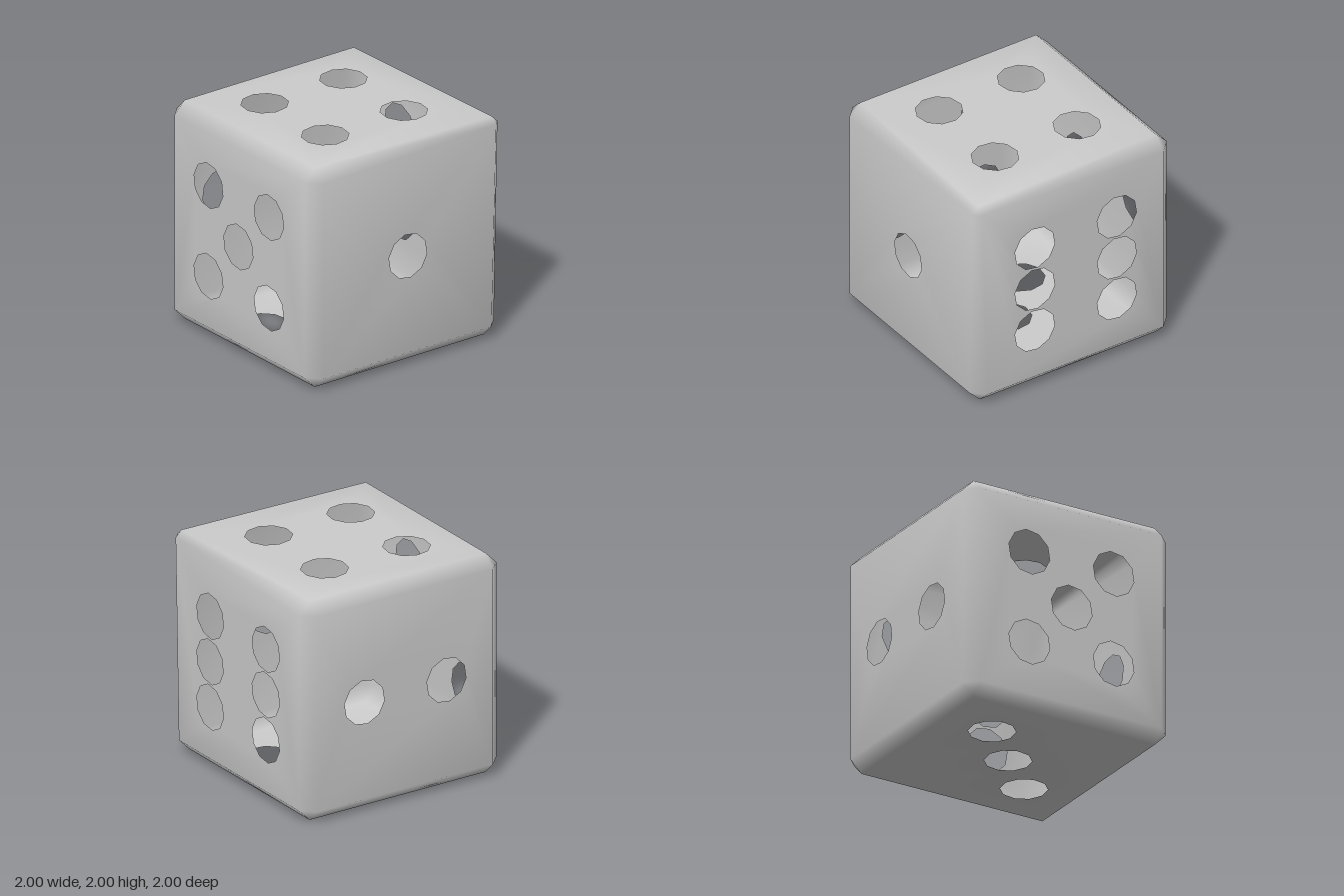
import * as THREE from 'three';

const PIP_R = 0.2, PIP_SIDES = 10, P = 0.41;
const V = (x, y, z) => new THREE.Vector3(x, y, z);
const AXES = ['x', 'y', 'z'];

// How far a corner of the cube is cut back; the upper back left one is sharper
const inset = s => (s.x > 0 && s.y > 0 && s.z < 0 ? 0.07 : 0.12);

// Faces bulge very slightly towards their middle
const height = (u, v) => 1 - 0.015 * Math.max(Math.abs(u), Math.abs(v)) ** 2;

// Each face: outward normal n, in-plane axes u and v, pip centres in (u, v)
const FACES = [
  { name: 'frontFace', n: V(0, 0, 1), u: V(1, 0, 0), v: V(0, 1, 0),
    pips: [[-P, P], [P, P], [0, 0], [-P, -P], [P, -P]] },
  { name: 'backFace', n: V(0, 0, -1), u: V(-1, 0, 0), v: V(0, 1, 0),
    pips: [[-P, P], [-P, 0], [-P, -P], [P, P], [P, 0], [P, -P]] },
  { name: 'leftFace', n: V(1, 0, 0), u: V(0, 0, -1), v: V(0, 1, 0), pips: [[0, 0]] },
  { name: 'rightFace', n: V(-1, 0, 0), u: V(0, 0, 1), v: V(0, 1, 0), pips: [[-P, 0], [P, 0]] },
  { name: 'topFace', n: V(0, 1, 0), u: V(1, 0, 0), v: V(0, 0, -1),
    pips: [[-P, P], [P, P], [-P, -P], [P, -P]] },
  { name: 'bottomFace', n: V(0, -1, 0), u: V(1, 0, 0), v: V(0, 0, 1),
    pips: [[P, -P], [0, 0], [-P, P]] },
];

// Smooth normal: the face direction, leaning outwards near the rim
function softNormal(n, p) {
  const rim = Math.max(...AXES.map(a => (n[a] ? 0 : Math.abs(p[a])))) > 0.8;
  return rim ? n.clone().addScaledVector(p, 0.18).normalize() : n.clone();
}

// Flat panel with open round pips
function faceGeometry({ n, u, v, pips }) {
  const corners = [[-1, -1], [1, -1], [1, 1], [-1, 1]].map(([a, b]) => {
    const s = n.clone().addScaledVector(u, a).addScaledVector(v, b);
    const d = 1 - inset(s);
    return new THREE.Vector2(a * d, b * d);
  });
  const shape = new THREE.Shape(corners);
  for (const [cx, cy] of pips) {
    const ring = [];
    for (let i = 0; i < PIP_SIDES; i++) {
      const t = -(i + 0.25) / PIP_SIDES * Math.PI * 2;
      ring.push(new THREE.Vector2(cx + PIP_R * Math.cos(t), cy + PIP_R * Math.sin(t)));
    }
    shape.holes.push(new THREE.Path(ring));
  }
  const geo = new THREE.ShapeGeometry(shape);
  const pos = geo.attributes.position, nor = geo.attributes.normal;
  for (let i = 0; i < pos.count; i++) {
    const a = pos.getX(i), b = pos.getY(i);
    const p = n.clone().multiplyScalar(height(a, b)).addScaledVector(u, a).addScaledVector(v, b);
    const m = softNormal(n, p);
    pos.setXYZ(i, p.x, p.y, p.z);
    nor.setXYZ(i, m.x, m.y, m.z);
  }
  return geo;
}

// Corner s of the panel that lies across the given axis
function rimPoint(axis, s) {
  const d = 1 - inset(s);
  const p = s.clone().multiplyScalar(d);
  p[axis] = s[axis] * height(d, d);
  const n = V(0, 0, 0);
  n[axis] = s[axis];
  return { p, n: softNormal(n, p) };
}

// Twelve bevelled edges and eight corner triangles
function bevelGeometry() {
  const pos = [], nor = [];
  const tri = (a, b, c) => {
    const f = b.p.clone().sub(a.p).cross(c.p.clone().sub(a.p));
    const order = f.dot(a.p.clone().add(b.p).add(c.p)) > 0 ? [a, b, c] : [a, c, b];
    for (const k of order) {
      pos.push(...k.p.toArray());
      nor.push(...k.n.toArray());
    }
  };
  AXES.forEach((a, i) => {
    const b = AXES[(i + 1) % 3], c = AXES[(i + 2) % 3];
    for (const sb of [-1, 1]) for (const sc of [-1, 1]) {
      const s0 = V(0, 0, 0), s1 = V(0, 0, 0);
      s0[a] = -1; s1[a] = 1;
      s0[b] = s1[b] = sb;
      s0[c] = s1[c] = sc;
      const q = [rimPoint(b, s0), rimPoint(b, s1), rimPoint(c, s1), rimPoint(c, s0)];
      tri(q[0], q[1], q[2]);
      tri(q[0], q[2], q[3]);
    }
  });
  for (const x of [-1, 1]) for (const y of [-1, 1]) for (const z of [-1, 1]) {
    tri(...AXES.map(a => rimPoint(a, V(x, y, z))));
  }
  const geo = new THREE.BufferGeometry();
  geo.setAttribute('position', new THREE.Float32BufferAttribute(pos, 3));
  geo.setAttribute('normal', new THREE.Float32BufferAttribute(nor, 3));
  return geo;
}

export function createModel() {
  const group = new THREE.Group();
  group.name = 'die';
  const material = new THREE.MeshStandardMaterial({ color: 0xcccccc, side: THREE.DoubleSide });
  const add = (name, geo) => {
    const mesh = new THREE.Mesh(geo, material);
    mesh.name = name;
    mesh.position.y = 1;
    group.add(mesh);
  };
  for (const face of FACES) add(face.name, faceGeometry(face));
  add('bevelledEdges', bevelGeometry());
  return group;
}
